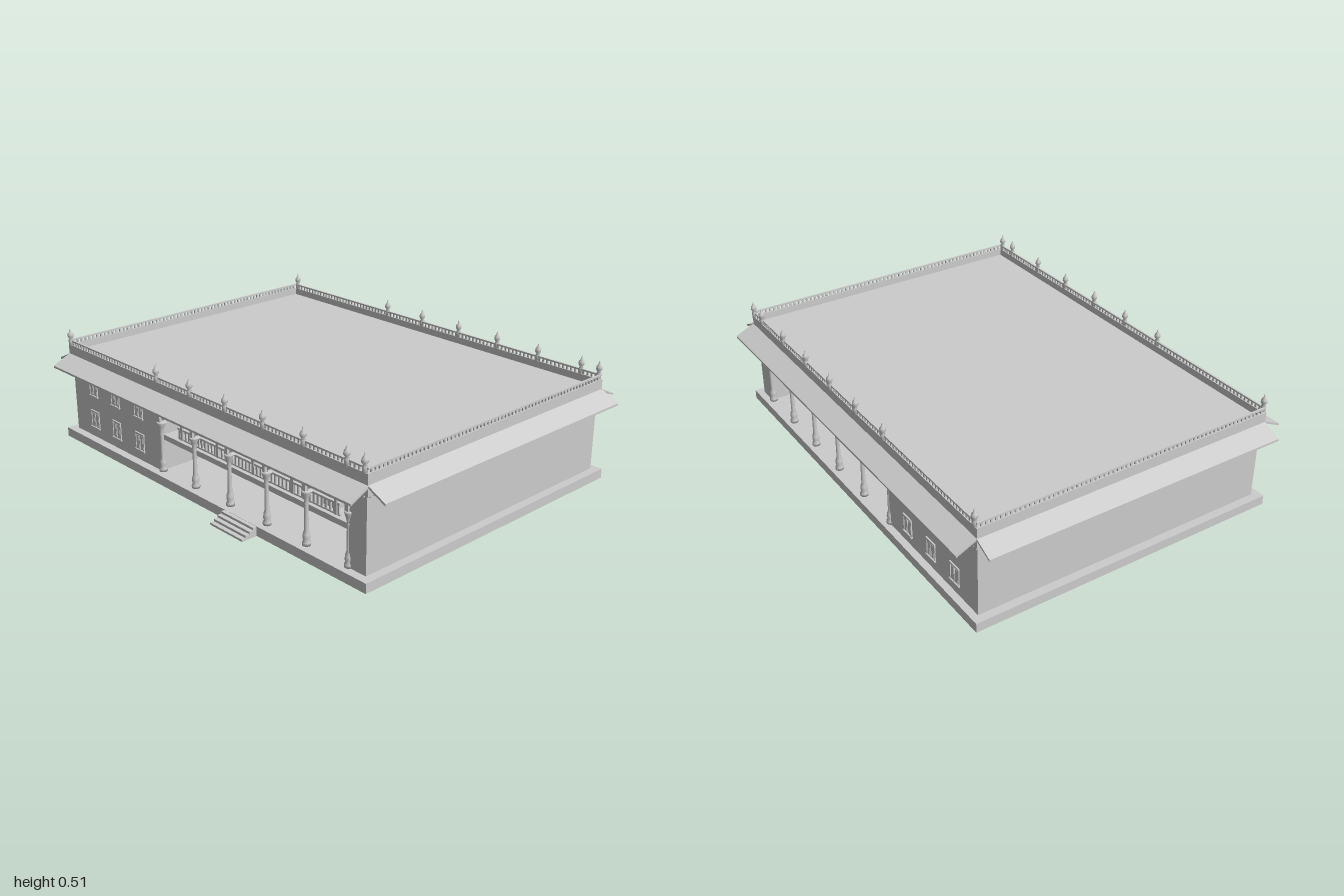
import * as THREE from 'three';
import { mergeGeometries } from 'three/addons/utils/BufferGeometryUtils.js';

const stone = new THREE.MeshStandardMaterial({ color: 0xcccccc });
stone.name = 'grey stone';

const root = new THREE.Group();

function add(name, geometry, parent = root) {
  const mesh = new THREE.Mesh(geometry, stone);
  mesh.name = name;
  parent.add(mesh);
  return mesh;
}

// box given by its lower and upper limits on each axis
function span(x0, x1, y0, y1, z0, z1) {
  return new THREE.BoxGeometry(x1 - x0, y1 - y0, z1 - z0)
    .translate((x0 + x1) / 2, (y0 + y1) / 2, (z0 + z1) / 2);
}
// box given by centre x, z, lower and upper y, width and depth
const post = (x, z, y0, y1, w, d = w) =>
  span(x - w / 2, x + w / 2, y0, y1, z - d / 2, z + d / 2);

const lathe = (pts, sides) =>
  new THREE.LatheGeometry(pts.map(([r, y]) => new THREE.Vector2(r, y)), sides);

const X0 = -0.91, X1 = 0.905;       // outer wall ends
const HALL0 = -0.28, HALL1 = 0.82;  // open hall ends
const Z = 0.6525;                   // half depth of the walls
const PITCH = 0.218;
const columnX = [0, 1, 2, 3, 4, 5].map(i => -0.275 + PITCH * i);
const finialX = [-0.905, ...columnX, 0.9];

// turned column: foot, baluster shaft, flared capital
function columnGeometry() {
  return lathe([
    [0, 0.04], [0.017, 0.04], [0.017, 0.052], [0.012, 0.058], [0.015, 0.07],
    [0.014, 0.085], [0.009, 0.1], [0.008, 0.2], [0.011, 0.208], [0.008, 0.215],
    [0.013, 0.235], [0.018, 0.25], [0.018, 0.258], [0, 0.258],
  ], 12);
}

// roof finial: neck, bulb and spike
function finialGeometry() {
  return lathe([
    [0, 0.43], [0.01, 0.43], [0.01, 0.455], [0.006, 0.46], [0.013, 0.47],
    [0.012, 0.482], [0.005, 0.491], [0.004, 0.497], [0, 0.506],
  ], 10);
}

// one bay of the scalloped arcade
function archGeometry() {
  const w = PITCH / 2, a = 0.092, spring = 0.252, rise = 0.055, lobes = 7;
  const at = (t, k) => [-a * Math.cos(t) * k, spring + rise * Math.sin(t) * k];
  const shape = new THREE.Shape();
  shape.moveTo(-w, 0.342);
  shape.lineTo(-w, spring);
  shape.lineTo(-a, spring);
  for (let i = 0; i < lobes; i++) {
    const mid = at(Math.PI * (i + 0.5) / lobes, 1.24);
    const end = at(Math.PI * (i + 1) / lobes, 1);
    shape.quadraticCurveTo(...mid, ...end);
  }
  shape.lineTo(w, spring);
  shape.lineTo(w, 0.342);
  return new THREE.ExtrudeGeometry(shape, { depth: 0.018, bevelEnabled: false, curveSegments: 5 })
    .translate(0, 0, -0.009);
}

// window with frame, sill and two shutters; s is the side it faces
function windowGeometry(x, y, s) {
  const z = s * Z, w = 0.056, h = 0.076;
  const parts = [
    post(x, z, y, y + h, w - 0.006, 0.004),
    post(x, z, y - 0.004, y + 0.002, w + 0.01, 0.016),
    post(x, z, y + h - 0.004, y + h + 0.002, w + 0.006, 0.012),
  ];
  for (const e of [-1, 0, 1]) parts.push(post(x + e * w / 2, z, y, y + h, 0.005, 0.01));
  for (const e of [-1, 1]) parts.push(post(x + e * w / 4, z, y + 0.008, y + h - 0.01, 0.014, 0.007));
  return mergeGeometries(parts);
}

// everything on the long face: s = 1 front, s = -1 back
function longFace(s) {
  const face = new THREE.Group();
  face.name = s > 0 ? 'frontFace' : 'backFace';
  root.add(face);

  for (const x of columnX) {
    add('column', columnGeometry(), face).position.set(x, 0, s * 0.647);
    add('columnPier', post(x, s * 0.65, 0.255, 0.342, 0.016, 0.022), face);
  }
  for (let i = 0; i < 5; i++)
    add('scallopedArch', archGeometry(), face).position.set(columnX[i] + PITCH / 2, 0, s * 0.64);

  for (const x of [-0.76, -0.595, -0.425])
    for (const y of [0.086, 0.233]) add('window', windowGeometry(x, y, s), face);

  // balcony edge and railing
  const zr = s * 0.615;
  add('balconyBeam', post((HALL0 + HALL1) / 2, s * 0.628, 0.174, 0.197, HALL1 - HALL0, 0.016), face);
  const rail = [
    post(0.27, zr, 0.238, 0.246, 0.94, 0.012),
    post(0.27, zr, 0.195, 0.203, 0.94, 0.008),
  ];
  for (let x = -0.195; x < 0.74; x += 0.021) rail.push(post(x, zr, 0.2, 0.24, 0.009, 0.006));
  for (const x of [-0.175, 0.055, 0.27, 0.49, 0.72]) rail.push(post(x, zr, 0.195, 0.258, 0.014));
  add('balconyRailing', mergeGeometries(rail), face);

  // piers behind the first and last bays
  for (const x of [-0.095, 0.66])
    add('upperPier', post(x, s * 0.55, 0.195, 0.342, 0.07, 0.08), face);

  for (const x of finialX) add('finial', finialGeometry(), face).position.set(x, 0, s * 0.66);
}

// sloping eave plate along one side; drop direction is outward
function eave(length, from, to, yFrom, yTo) {
  const shape = new THREE.Shape();
  shape.moveTo(from, yFrom);
  shape.lineTo(from, yFrom - 0.009);
  shape.lineTo(to, yTo - 0.009);
  shape.lineTo(to, yTo);
  shape.closePath();
  return new THREE.ExtrudeGeometry(shape, { depth: length, bevelEnabled: false })
    .translate(0, 0, -length / 2);
}

export function createModel() {
  root.clear();
  root.name = 'arcadedHall';

  // base and solid wings
  add('plinth', span(-0.945, 0.94, 0, 0.04, -0.6825, 0.6875));
  add('rightWing', span(X0, HALL0, 0.04, 0.345, -Z, Z));
  add('leftWing', span(HALL1, X1, 0.04, 0.345, -Z, Z));

  // hall interior
  add('upperFloor', span(HALL0, HALL1, 0.176, 0.195, -0.62, 0.62));
  add('lowerPier', span(-0.25, -0.165, 0.04, 0.176, -0.2, 0.2));
  add('lowerPier', span(0.7, 0.775, 0.04, 0.176, -0.2, 0.2));

  // ceiling, cornice and roof
  add('ceiling', span(X0, X1, 0.338, 0.36, -Z, Z));
  add('cornice', span(-0.922, 0.918, 0.347, 0.402, -0.662, 0.662));
  for (const s of [-1, 1]) {
    add('parapet', span(-0.922, 0.918, 0.39, 0.432, s * 0.656 - 0.006, s * 0.656 + 0.006));
    add('parapet', post(s > 0 ? 0.912 : -0.916, 0, 0.39, 0.432, 0.012, 1.31));
  }

  // cresting on the parapet and dentils beneath the cornice
  const crest = [], dentils = [];
  for (const s of [-1, 1]) {
    crest.push(post(-0.002, s * 0.656, 0.446, 0.453, 1.836, 0.008));
    crest.push(post(s > 0 ? 0.912 : -0.916, 0, 0.446, 0.453, 0.008, 1.31));
    for (let x = -0.91; x < 0.91; x += 0.02) {
      crest.push(post(x, s * 0.656, 0.43, 0.448, 0.008, 0.006));
      dentils.push(post(x, s * 0.655, 0.338, 0.348, 0.011, 0.012));
    }
    for (let z = -0.64; z < 0.65; z += 0.02) {
      crest.push(post(s > 0 ? 0.912 : -0.916, z, 0.43, 0.448, 0.006, 0.008));
      dentils.push(post(s > 0 ? 0.908 : -0.913, z, 0.338, 0.348, 0.012, 0.011));
    }
  }
  add('cresting', mergeGeometries(crest));
  add('dentils', mergeGeometries(dentils));

  // eaves: the same profile turned to each side
  const sides = [
    ['leftEave', 1.325, 0.915, 1.0, 0],
    ['backEave', 1.842, 0.658, 0.745, Math.PI / 2],
    ['rightEave', 1.325, 0.915, 1.0, Math.PI],
    ['frontEave', 1.842, 0.658, 0.745, -Math.PI / 2],
  ];
  for (const [name, length, from, to, turn] of sides) {
    const e = eave(length, from, to, 0.392, 0.352);
    // keep outward corners facing outward on every side
    add(name, e).rotation.y = turn;
  }

  longFace(1);
  longFace(-1);

  // entrance steps
  for (let i = 0; i < 4; i++)
    add('step', span(0.175, 0.365, 0, 0.01 * (i + 1) - 0.001, 0.68, 0.758 - 0.018 * i));

  root.position.z = -0.0075;
  const model = new THREE.Group();
  model.name = 'building';
  model.add(root);
  return model;
}
